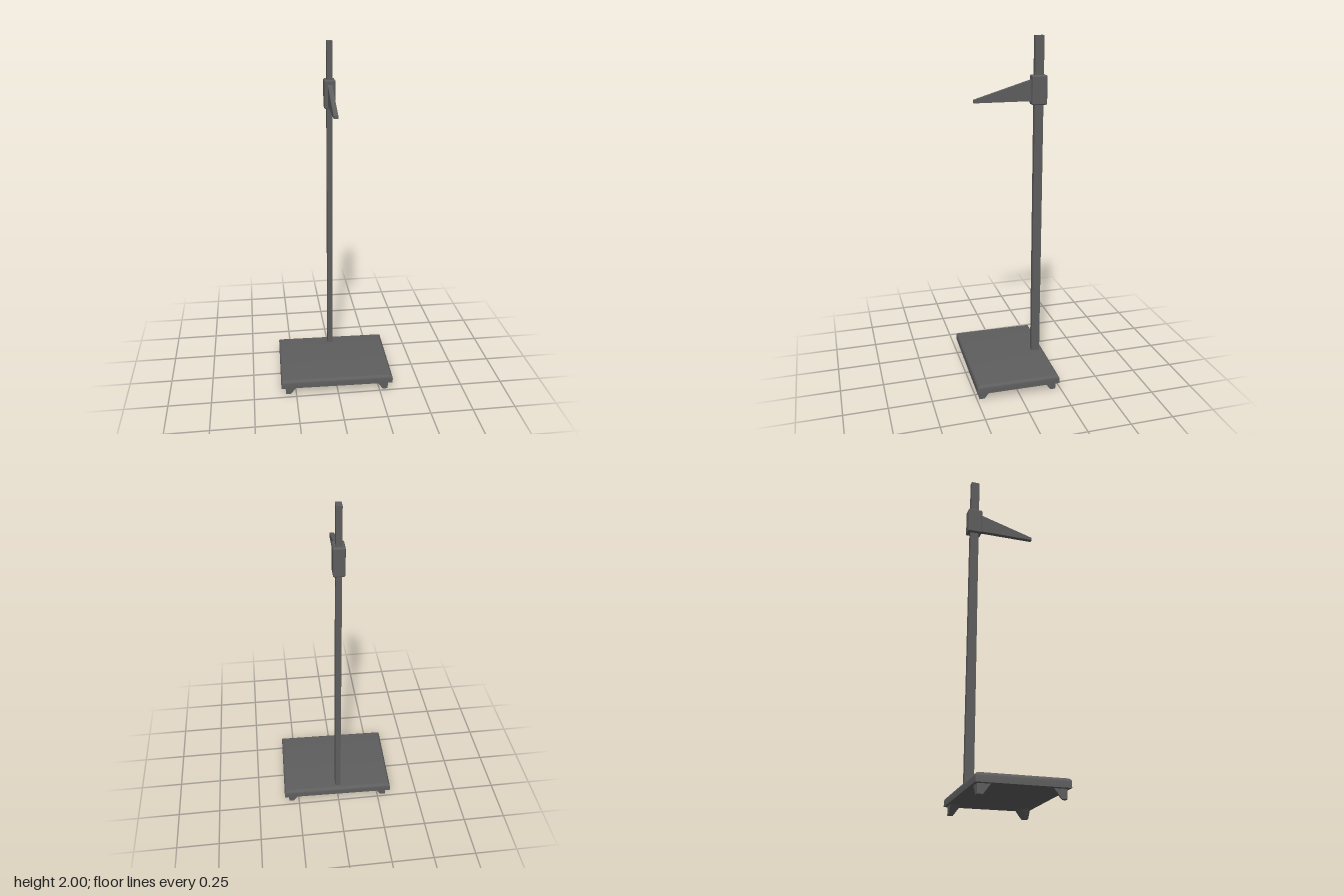
import * as THREE from 'three';
import { toCreasedNormals } from 'three/addons/utils/BufferGeometryUtils.js';
import { RoundedBoxGeometry } from 'three/addons/geometries/RoundedBoxGeometry.js';

const darkGrey = new THREE.MeshStandardMaterial({ name: 'darkGrey', color: 0x5e5e5e });

// Solid from horizontal [x, z] outlines (counter-clockwise from above), lowest first
function loft(rings) {
  const pos = [];
  const tri = (...corners) => corners.forEach(c => pos.push(...c));
  const loops = rings.map(({ y, pts }) => pts.map(([x, z]) => [x, y, z]));
  const n = loops[0].length;
  for (let r = 0; r < loops.length - 1; r++) {
    const lo = loops[r], hi = loops[r + 1];
    for (let i = 0; i < n; i++) {
      const j = (i + 1) % n;
      tri(lo[i], lo[j], hi[j]);
      tri(lo[i], hi[j], hi[i]);
    }
  }
  const bottom = loops[0], top = loops[loops.length - 1];
  for (let i = 1; i < n - 1; i++) {
    tri(bottom[0], bottom[i + 1], bottom[i]);
    tri(top[0], top[i], top[i + 1]);
  }
  const geo = new THREE.BufferGeometry();
  geo.setAttribute('position', new THREE.Float32BufferAttribute(pos, 3));
  return toCreasedNormals(geo, Math.PI / 6);
}

const rectangle = (x, z) => [[x, z], [x, -z], [-x, -z], [-x, z]];

// Quarter-round outline fanning inward from a corner
function quarter(x, z, start, radius) {
  const pts = [[x, z]];
  for (let i = 0; i <= 8; i++) {
    const t = start + (i / 8) * Math.PI / 2;
    pts.push([x + radius * Math.cos(t), z - radius * Math.sin(t)]);
  }
  return pts;
}

export function createModel() {
  const group = new THREE.Group();
  group.name = 'heightGauge';
  const add = (name, geometry, x = 0, y = 0, z = 0) => {
    const mesh = new THREE.Mesh(geometry, darkGrey);
    mesh.name = name;
    mesh.position.set(x, y, z);
    group.add(mesh);
  };

  // Base plate with a rounded, mitred upper edge
  const round = 0.02;
  const rings = [{ y: 0.05, pts: rectangle(0.333, 0.2435) }];
  for (let i = 0; i <= 5; i++) {
    const a = (i / 5) * Math.PI / 2;
    const inset = round * (1 - Math.cos(a));
    rings.push({ y: 0.1 - round + round * Math.sin(a), pts: rectangle(0.333 - inset, 0.2435 - inset) });
  }
  add('basePlate', loft(rings));

  // Four tapered quarter-round feet
  const feet = [
    ['footFrontLeft', 1, 1, 1], ['footFrontRight', -1, 1, 0],
    ['footBackRight', -1, -1, 3], ['footBackLeft', 1, -1, 2],
  ];
  for (const [name, sx, sz, turn] of feet) {
    const outline = radius => quarter(sx * 0.307, sz * 0.228, turn * Math.PI / 2, radius);
    add(name, loft([{ y: 0, pts: outline(0.03) }, { y: 0.05, pts: outline(0.068) }]));
  }

  // Upright post and the sliding block around it
  const postX = -0.004, postZ = -0.192;
  add('post', new THREE.BoxGeometry(0.032, 1.91, 0.05), postX, 1.045, postZ);
  add('slider', new RoundedBoxGeometry(0.063, 0.162, 0.087, 3, 0.008), postX, 1.708, postZ);

  // Tapered measuring arm pointing forward
  const side = new THREE.Shape([
    new THREE.Vector2(-0.155, 1.648), new THREE.Vector2(0.176, 1.648),
    new THREE.Vector2(0.176, 1.664), new THREE.Vector2(-0.155, 1.766),
  ]);
  const arm = new THREE.ExtrudeGeometry(side, { depth: 0.025, bevelEnabled: false });
  arm.translate(0, 0, -0.0125).rotateY(-Math.PI / 2);
  add('measuringArm', arm, postX);

  // Whole stand is turned very slightly
  group.rotation.y = -0.024;
  return group;
}
